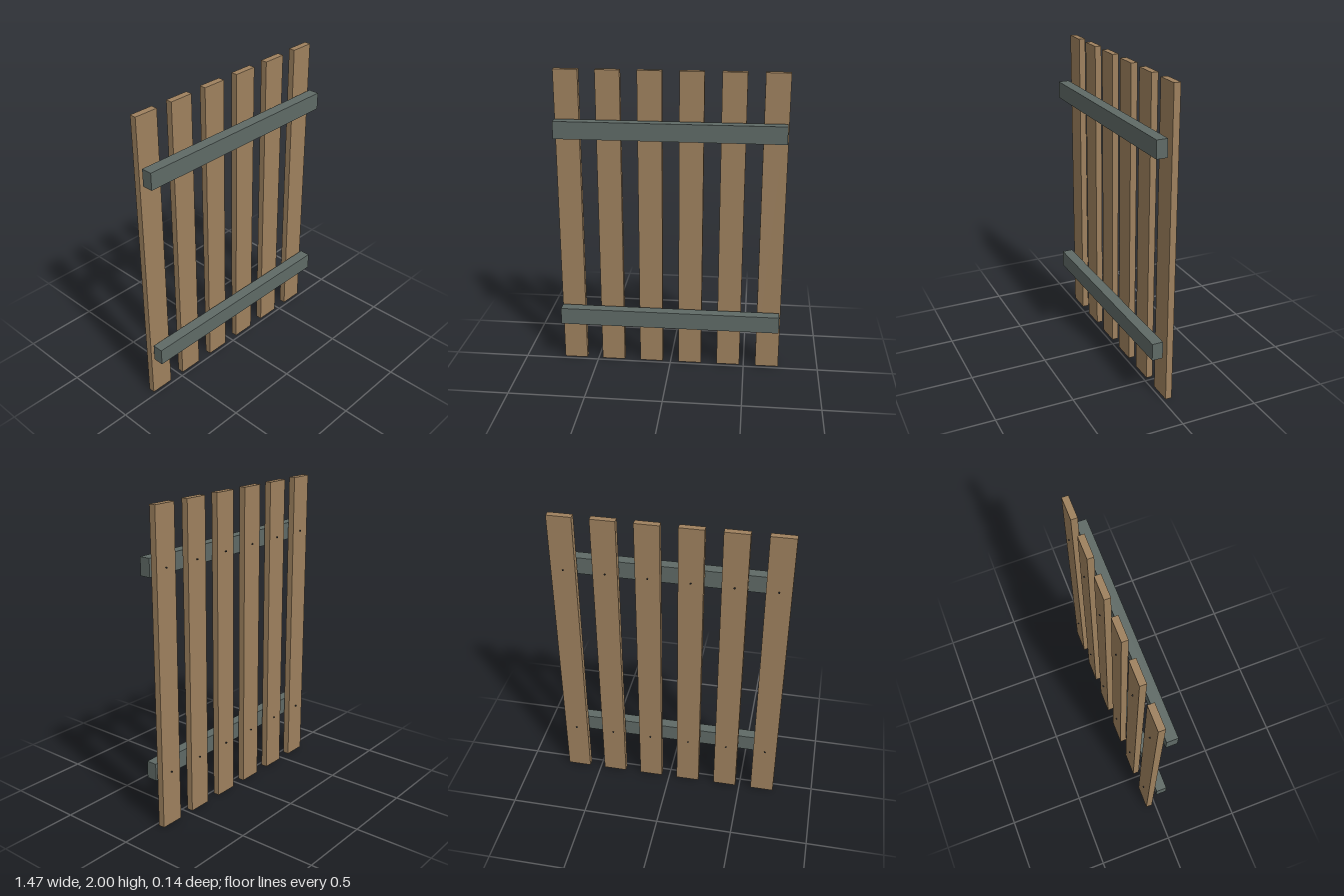
import * as THREE from 'three';

export function createModel() {
  const group = new THREE.Group();
  const wood = new THREE.MeshStandardMaterial({ name: 'wood', color: 0x9e815e });
  const slate = new THREE.MeshStandardMaterial({ name: 'slatePaint', color: 0x5f6a66 });
  const iron = new THREE.MeshStandardMaterial({ name: 'darkIron', color: 0x2e3032 });

  const add = (name, geometry, material, x, y, z) => {
    const mesh = new THREE.Mesh(geometry, material);
    mesh.name = name;
    mesh.position.set(x, y, z);
    group.add(mesh);
  };

  const railHeights = [0.354, 1.635];
  const plankGeometry = new THREE.BoxGeometry(0.155, 2, 0.042);
  const railGeometry = new THREE.BoxGeometry(1.456, 0.112, 0.071);
  const nailGeometry = new THREE.CylinderGeometry(0.005, 0.005, 0.012, 8).rotateX(Math.PI / 2);

  // Upright planks, each nailed from the back at both rail heights
  for (let i = 0; i < 6; i++) {
    const x = (i - 2.5) * 0.263;
    add('plank', plankGeometry, wood, x, 1, -0.044);
    for (const y of railHeights) add('nail', nailGeometry, iron, x, y, -0.066);
  }

  // Horizontal rails, standing slightly clear of the planks
  for (const y of railHeights) add('rail', railGeometry, slate, -0.002, y, 0.0355);

  return group;
}
